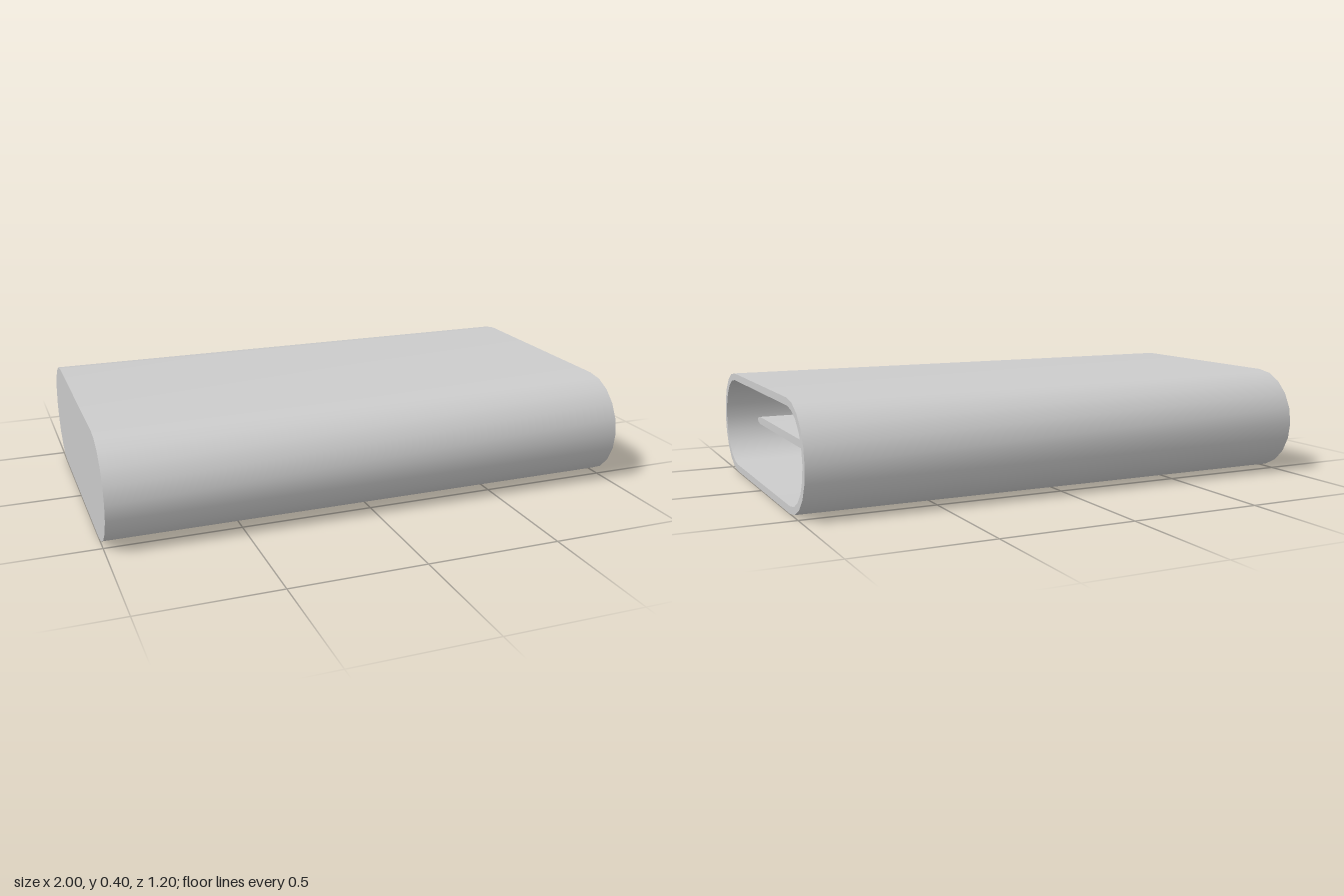
import * as THREE from 'three';
import { toCreasedNormals } from 'three/addons/utils/BufferGeometryUtils.js';

const STRAIGHT = 0.4; // half length of the flat part of every section
const STEPS = 10;     // facets per rounded end

// Slot-shaped section: two flats joined by half-ellipses of radii rz and ry
function slotPoints(rz, ry) {
  const points = [];
  for (const side of [1, -1]) {
    for (let i = 0; i <= STEPS; i++) {
      const a = -Math.PI / 2 + (Math.PI * i) / STEPS;
      points.push(new THREE.Vector2(side * (STRAIGHT + rz * Math.cos(a)), side * ry * Math.sin(a)));
    }
  }
  return points;
}

// Sweeps a section along x from x0 to x1
function sweep(name, shape, x0, x1, material) {
  const extruded = new THREE.ExtrudeGeometry(shape, { depth: x1 - x0, bevelEnabled: false });
  extruded.rotateY(Math.PI / 2);
  const mesh = new THREE.Mesh(toCreasedNormals(extruded, 0.6), material);
  mesh.name = name;
  mesh.position.set(x0, 0.2, 0);
  return mesh;
}

export function createModel() {
  const group = new THREE.Group();
  group.name = 'connectorSocket';
  const material = new THREE.MeshStandardMaterial({ color: 0xcccccc });

  // Outer tube, open at +x
  const shell = new THREE.Shape(slotPoints(0.2, 0.2));
  shell.holes.push(new THREE.Path(slotPoints(0.173, 0.173)));
  group.add(sweep('shell', shell, -1, 1, material));

  // Wall closing the -x end
  group.add(sweep('backWall', new THREE.Shape(slotPoints(0.173, 0.173)), -1, -0.97, material));

  // Thin central tongue, set back from the opening
  group.add(sweep('tongue', new THREE.Shape(slotPoints(0.05, 0.015)), -0.97, 0.9, material));

  return group;
}
